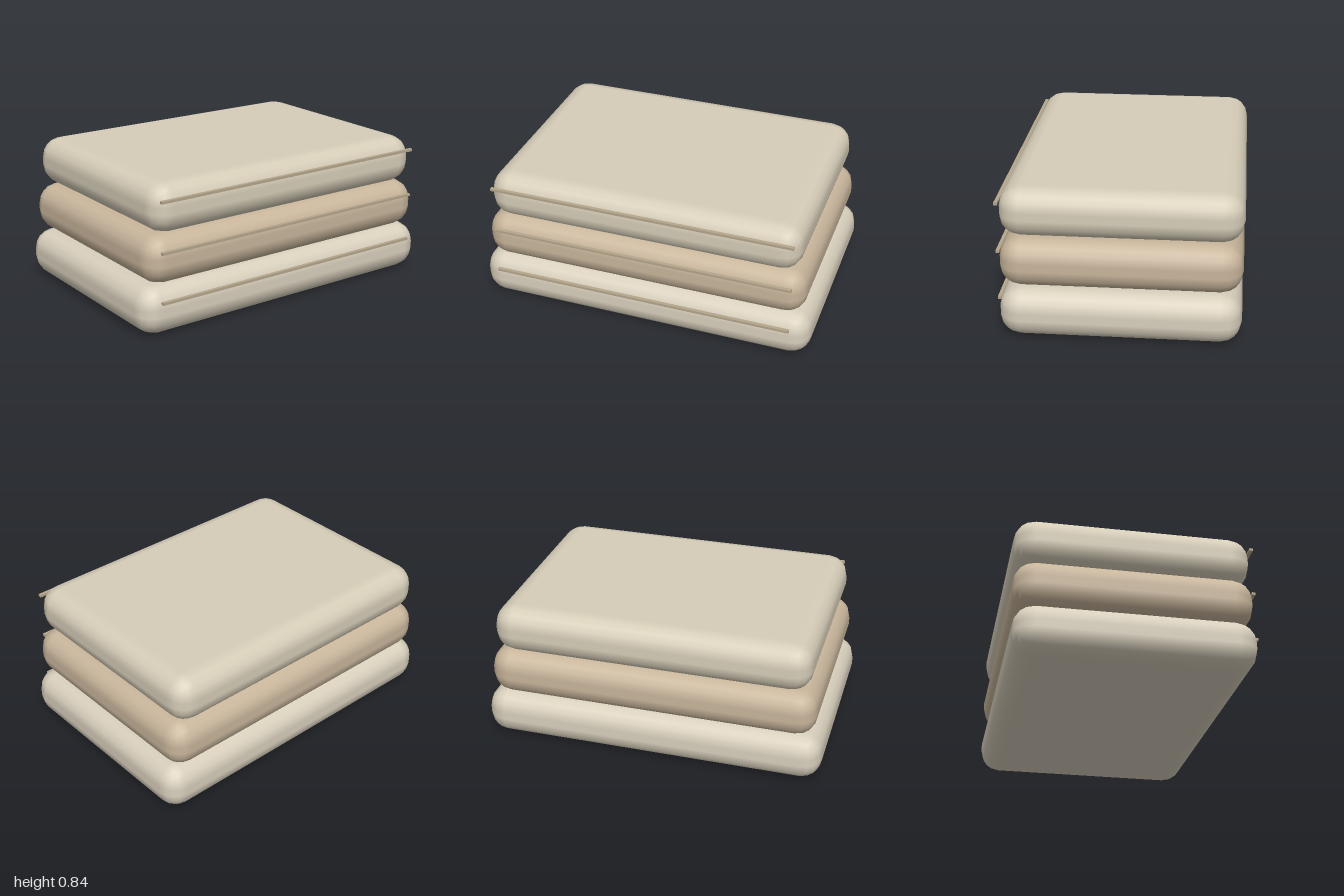
import * as THREE from 'three';
import { RoundedBoxGeometry } from 'three/addons/geometries/RoundedBoxGeometry.js';

const PITCH = 0.2815; // height of one folded towel
const DEPTH = 1.335;

function addMesh(parent, name, geometry, color, x, y, z) {
  const mesh = new THREE.Mesh(geometry, new THREE.MeshStandardMaterial({ color }));
  mesh.name = name;
  mesh.position.set(x, y, z);
  parent.add(mesh);
}

export function createModel() {
  const model = new THREE.Group();
  model.name = 'foldedTowelStack';

  // Towels from bottom to top, each a little narrower
  const towels = [
    { name: 'bottomTowel', width: 2.0, color: 0xd8cfbc },
    { name: 'middleTowel', width: 1.92, color: 0xc8b59b },
    { name: 'topTowel', width: 1.845, color: 0xd6cdb8 },
  ];

  towels.forEach(({ name, width, color }, i) => {
    const towel = new THREE.Group();
    towel.name = name;
    towel.position.y = i * PITCH;

    // Soft folded body
    addMesh(towel, 'foldedBody', new RoundedBoxGeometry(width, PITCH, DEPTH, 2, 0.12),
      color, 0, PITCH / 2, -0.0075);

    // Thin hem along the front fold
    addMesh(towel, 'frontHem', new THREE.BoxGeometry(1.78, 0.015, 0.02),
      0xb5a68c, 0, 0.202, 0.661);

    model.add(towel);
  });

  return model;
}
